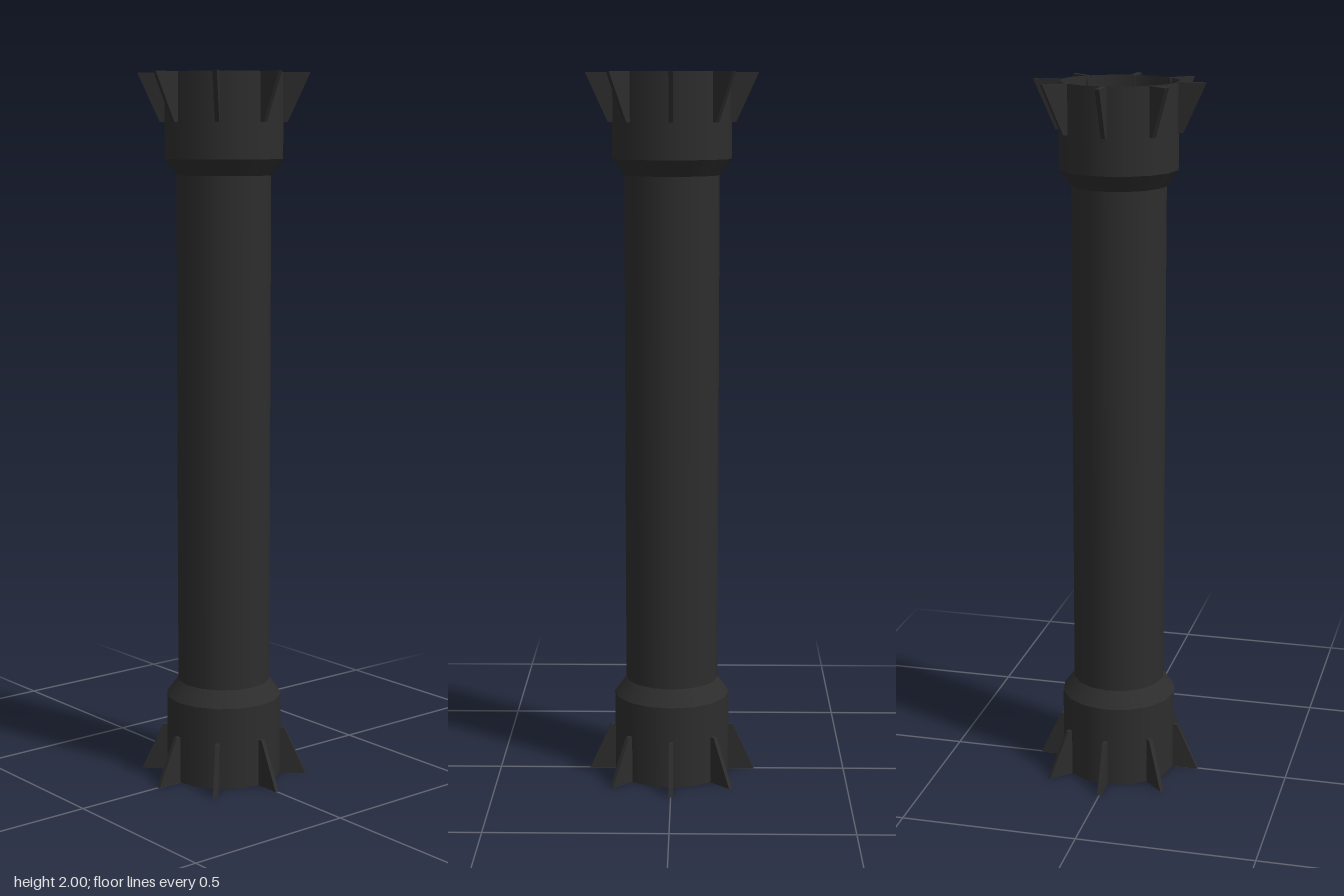
import * as THREE from 'three';

export function createModel() {
  const model = new THREE.Group();
  model.name = 'finnedTube';

  const darkMetal = new THREE.MeshStandardMaterial({ color: 0x2d2d2d, side: THREE.DoubleSide });
  darkMetal.name = 'darkMetal';

  const SIDES = 16, SHAFT_R = 0.132, COLLAR_R = 0.165;
  const COLLAR_H = 0.235, TAPER_TOP = 0.28, FIN_H = 0.135;

  // Open, thin-walled round section between two heights
  function section(name, r0, y0, r1, y1) {
    const profile = [new THREE.Vector2(r0, y0), new THREE.Vector2(r1, y1)];
    const mesh = new THREE.Mesh(new THREE.LatheGeometry(profile, SIDES), darkMetal);
    mesh.name = name;
    return mesh;
  }

  // Long shaft
  model.add(section('shaft', SHAFT_R, TAPER_TOP, SHAFT_R, 2 - TAPER_TOP));

  // Fin outline: wide at the open end, narrow towards the shaft
  const outline = new THREE.Shape([
    new THREE.Vector2(0.16, 0),
    new THREE.Vector2(0.239, 0),
    new THREE.Vector2(0.177, FIN_H),
    new THREE.Vector2(0.16, FIN_H),
  ]);
  const finGeometry = new THREE.ExtrudeGeometry(outline, { depth: 0.012, bevelEnabled: false });
  finGeometry.translate(0, 0, -0.006);

  // Collar, taper and ring of eight fins for one end
  function makeEnd(name) {
    const end = new THREE.Group();
    end.name = name;
    end.add(section('collar', COLLAR_R, 0, COLLAR_R, COLLAR_H));
    end.add(section('taper', COLLAR_R, COLLAR_H, SHAFT_R, TAPER_TOP));
    for (let i = 0; i < 8; i++) {
      const fin = new THREE.Mesh(finGeometry, darkMetal);
      fin.name = 'fin';
      fin.rotation.y = (i * Math.PI) / 4;
      end.add(fin);
    }
    return end;
  }

  const bottomEnd = makeEnd('bottomEnd');
  const topEnd = makeEnd('topEnd');
  topEnd.rotation.x = Math.PI;
  topEnd.position.y = 2;
  model.add(bottomEnd, topEnd);

  return model;
}
